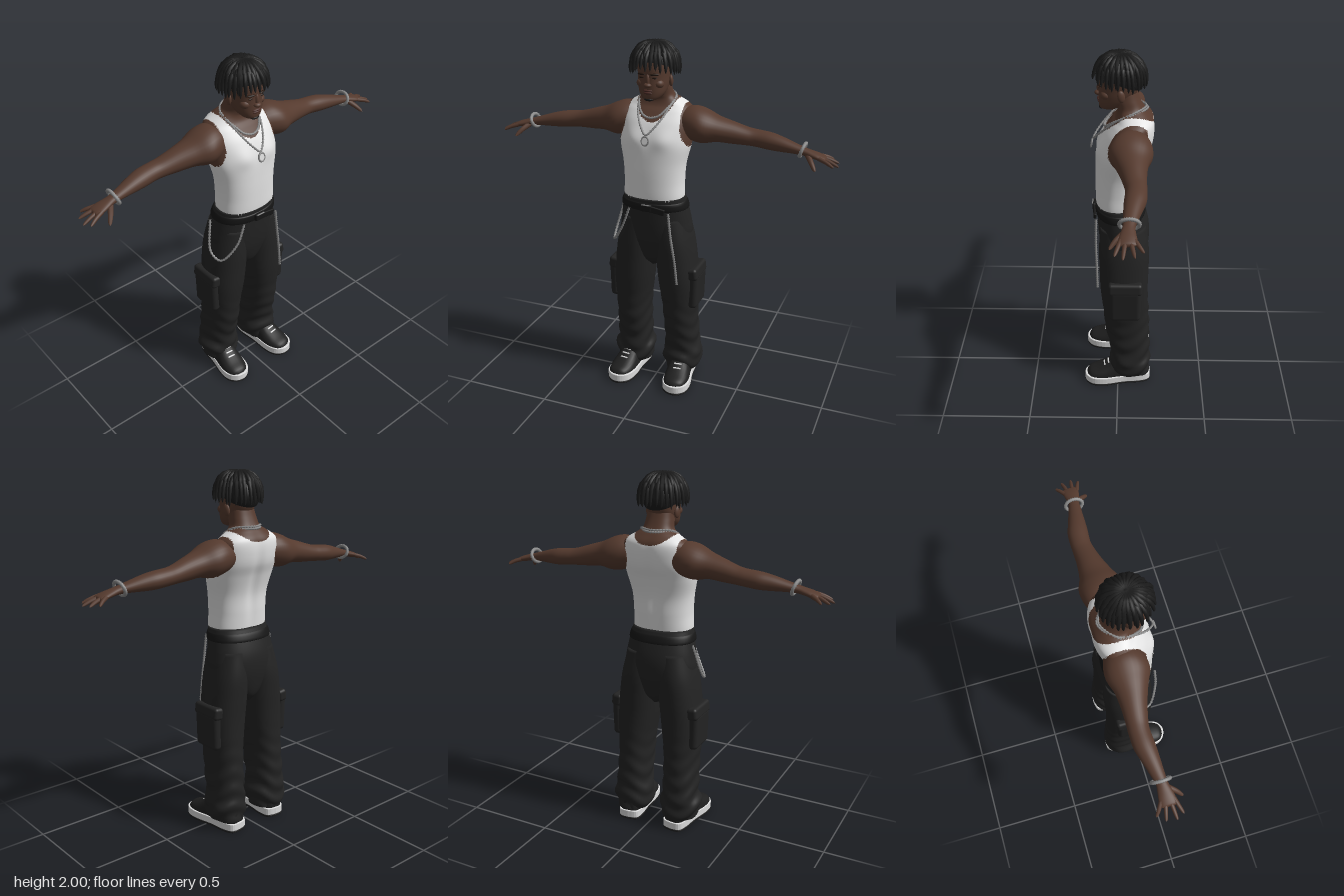
import * as THREE from 'three';
import { RoundedBoxGeometry } from 'three/addons/geometries/RoundedBoxGeometry.js';

const mat = (name, color) => new THREE.MeshStandardMaterial({ name, color });
const V = (x, y, z) => new THREE.Vector3(x, y, z);

// Smoothly resample a table of cross-sections to n rows
function resample(rows, n) {
  const it = new THREE.CubicInterpolant(rows.map((_, i) => i), rows.flat(), rows[0].length);
  return Array.from({ length: n }, (_, i) => Array.from(it.evaluate((i / (n - 1)) * (rows.length - 1))));
}

// Skin a list of closed rings, cap both ends and face the result outward
function loft(rings) {
  const n = rings[0].length, m = rings.length, idx = [];
  const pts = rings.flat();
  for (let r = 0; r < m - 1; r++) for (let k = 0; k < n; k++) {
    const a = r * n + k, b = r * n + (k + 1) % n;
    idx.push(a, a + n, b, b, a + n, b + n);
  }
  [0, m - 1].forEach((r) => {
    const c = pts.length;
    pts.push(rings[r].reduce((s, p) => s.add(p), V(0, 0, 0)).divideScalar(n));
    for (let k = 0; k < n; k++) {
      const a = r * n + k, b = r * n + (k + 1) % n;
      if (r === 0) idx.push(c, a, b); else idx.push(c, b, a);
    }
  });
  let vol = 0;
  const o = pts[pts.length - 1], t = V(0, 0, 0), u = V(0, 0, 0), w = V(0, 0, 0);
  for (let i = 0; i < idx.length; i += 3) {
    t.subVectors(pts[idx[i]], o); u.subVectors(pts[idx[i + 1]], o); w.subVectors(pts[idx[i + 2]], o);
    vol += t.dot(u.cross(w));
  }
  if (vol < 0) idx.reverse();
  const g = new THREE.BufferGeometry().setFromPoints(pts);
  g.setIndex(idx);
  g.computeVertexNormals();
  return g;
}

// One superellipse angle: returns [cos, sin] pushed toward a box as e grows
function se(k, n, e = 2) {
  const a = (k / n) * Math.PI * 2, c = Math.cos(a), s = Math.sin(a);
  return [Math.sign(c) * Math.abs(c) ** (2 / e), Math.sign(s) * Math.abs(s) ** (2 / e), a];
}

// Upright form from rows of [y, xCentre, zCentre, xRadius, zRadius]
function upright(rows, m, n, e, warp = (p) => p) {
  return loft(resample(rows, m).map(([y, x, z, rx, rz]) => Array.from({ length: n }, (_, k) => {
    const [c, s, a] = se(k, n, e);
    return warp(V(x + rx * c, y, z + rz * s), a, c, s);
  })));
}

// Tube along points with a radius that varies by t
function tube(pts, radius, seg = 12, radial = 7, closed = false) {
  const path = new THREE.CatmullRomCurve3(pts.map((p) => V(...p)), closed);
  const g = new THREE.TubeGeometry(path, seg, 1, radial, closed), p = g.attributes.position, v = V(0, 0, 0);
  for (let i = 0; i < p.count; i++) {
    const t = Math.floor(i / (radial + 1)) / seg, c = path.getPointAt(t);
    v.fromBufferAttribute(p, i).sub(c).multiplyScalar(radius(t)).add(c);
    p.setXYZ(i, v.x, v.y, v.z);
  }
  return g;
}

export function createModel() {
  const skin = mat('skin', 0x553a2e), hair = mat('hair', 0x191919), tank = mat('tankTop', 0xe4e4e4);
  const cloth = mat('trousers', 0x232323), leather = mat('belt', 0x161616), shoeBlack = mat('shoeBlack', 0x1f1f1f);
  const rubber = mat('soleWhite', 0xdcdcdc), silver = mat('silver', 0x8c8c8c), dark = mat('faceDark', 0x24170f), lips = mat('lips', 0x4b2c26);
  const model = new THREE.Group(), body = new THREE.Group();
  model.name = 'figure'; body.name = 'body';
  body.position.x = -0.013;
  model.add(body);
  const add = (parent, name, g, m, pos = [0, 0, 0], scale = [1, 1, 1], rot = [0, 0, 0]) => {
    const mesh = new THREE.Mesh(g, m);
    mesh.name = name;
    mesh.position.set(...pos); mesh.scale.set(...scale); mesh.rotation.set(...rot);
    parent.add(mesh);
    return mesh;
  };
  const ball = new THREE.SphereGeometry(1, 24, 16);

  // Torso and neck, with chest and spine relief; faces split into shirt and skin
  const bump = (x, y, cx, cy, sx, sy) => Math.exp(-(((x - cx) / sx) ** 2) - ((y - cy) / sy) ** 2);
  const torso = upright([
    [1.1, 0, 0, 0.16, 0.112], [1.16, 0, 0.002, 0.17, 0.12], [1.25, 0, 0, 0.168, 0.124], [1.35, 0, -0.003, 0.175, 0.126],
    [1.45, 0, -0.018, 0.196, 0.136], [1.52, 0, -0.04, 0.2, 0.14], [1.58, 0, -0.057, 0.198, 0.132], [1.63, 0, -0.075, 0.188, 0.113],
    [1.66, 0, -0.083, 0.163, 0.095], [1.69, 0, -0.075, 0.115, 0.078], [1.715, 0, -0.06, 0.084, 0.07],
    [1.76, 0, -0.04, 0.075, 0.068], [1.81, 0, -0.025, 0.07, 0.065]], 100, 96, 2.3, (p, a, c, s) => {
    if (s > 0) p.z += 0.014 * s * bump(Math.abs(p.x), p.y, 0.085, 1.5, 0.06, 0.05);
    else p.z += 0.012 * bump(p.x, p.y, 0, 1.4, 0.03, 0.2);
    return p;
  });
  const shirtIdx = [], skinIdx = [], ti = torso.index.array, tp = torso.attributes.position;
  for (let i = 0; i < ti.length; i += 3) {
    const f = [ti[i], ti[i + 1], ti[i + 2]], mean = (get) => (get(f[0]) + get(f[1]) + get(f[2])) / 3;
    const x = Math.abs(mean((j) => tp.getX(j))), y = mean((j) => tp.getY(j)), z = mean((j) => tp.getZ(j));
    const low = z > -0.075 ? 1.585 : 1.64;
    const neckline = low + (1.69 - low) * (x / 0.112) ** 2.4;
    const armEdge = 0.152 + 0.045 * (Math.max(0, 1.6 - y) / 0.15) ** 2;
    (y > neckline || (y > 1.45 && x > armEdge) || y > 1.695 ? skinIdx : shirtIdx).push(...f);
  }
  torso.setIndex([...shirtIdx, ...skinIdx]);
  torso.addGroup(0, shirtIdx.length, 0);
  torso.addGroup(shirtIdx.length, skinIdx.length, 1);
  add(body, 'torso', torso, [tank, skin]);

  // Head and face
  add(body, 'head', upright([[1.7, 0, 0.055, 0.02, 0.025], [1.712, 0, 0.045, 0.046, 0.052], [1.74, 0, 0.027, 0.068, 0.075],
    [1.78, 0, 0.008, 0.079, 0.095], [1.82, 0, -0.002, 0.083, 0.104], [1.88, 0, -0.006, 0.086, 0.11],
    [1.93, 0, -0.01, 0.078, 0.1], [1.965, 0, -0.01, 0.045, 0.06]], 40, 40, 2.2), skin);
  add(body, 'nose', ball, skin, [0, 1.786, 0.103], [0.021, 0.013, 0.02]);
  add(body, 'noseBridge', ball, skin, [0, 1.812, 0.099], [0.011, 0.032, 0.012]);
  add(body, 'upperLip', ball, lips, [0, 1.757, 0.097], [0.027, 0.007, 0.013]);
  add(body, 'lowerLip', ball, lips, [0, 1.745, 0.095], [0.025, 0.008, 0.013]);
  add(body, 'chin', ball, skin, [0, 1.718, 0.078], [0.03, 0.018, 0.02]);
  add(body, 'goatee', ball, hair, [0, 1.709, 0.083], [0.026, 0.01, 0.018]);
  for (const s of [-1, 1]) {
    add(body, 'eye', ball, dark, [s * 0.034, 1.824, 0.094], [0.016, 0.005, 0.006]);
    add(body, 'brow', ball, dark, [s * 0.036, 1.842, 0.097], [0.024, 0.006, 0.008], [0, s * 0.3, 0]);
    add(body, 'cheek', ball, skin, [s * 0.045, 1.79, 0.062], [0.03, 0.025, 0.03]);
    add(body, 'ear', ball, skin, [s * 0.085, 1.795, -0.015], [0.012, 0.032, 0.02], [0.15, s * 0.3, 0]);
  }

  // Hair: skull cap and two layers of hanging locks
  add(body, 'hairCap', new THREE.SphereGeometry(1, 32, 16, 0, Math.PI * 2, 0, 1.75), hair, [0, 1.875, -0.015], [0.1, 0.105, 0.122], [-0.4, 0, 0]);
  let seed = 7;
  const rnd = () => (seed = (seed * 16807) % 2147483647) / 2147483647;
  [[30, 1, 0.0], [24, 0.9, 0.018]].forEach(([count, reach, lift]) => {
    for (let i = 0; i < count; i++) {
      const a = ((i + 0.5 + 0.4 * (rnd() - 0.5)) / count) * Math.PI * 2, front = Math.max(0, Math.sin(a));
      const end = 1.815 + 0.04 * front ** 2 + 0.02 * rnd() + lift, w = reach * (0.96 + 0.1 * rnd());
      const at = (r, y) => [Math.cos(a) * r * w, y, -0.008 + Math.sin(a) * r * w * 1.08];
      add(body, 'lock', tube([at(0.01, 1.962 + lift), at(0.06, 1.97 + lift * 0.7), at(0.105, 1.935 + lift), at(0.122, 1.88 + lift), at(0.124, end)],
        (t) => 0.0155 * (1 - 0.45 * t) * Math.sqrt(1 - t ** 8) * (1 + 0.08 * Math.sin(t * 40)), 14, 7), hair);
    }
  });

  // Arms and hands
  const armRows = [[0.12, 1.57, -0.07, 0.075, 0.085], [0.19, 1.565, -0.068, 0.094, 0.108], [0.25, 1.555, -0.066, 0.091, 0.112],
    [0.32, 1.545, -0.07, 0.069, 0.086], [0.4, 1.53, -0.08, 0.059, 0.067], [0.48, 1.516, -0.09, 0.048, 0.056],
    [0.53, 1.51, -0.094, 0.046, 0.053], [0.6, 1.503, -0.09, 0.046, 0.054], [0.66, 1.496, -0.081, 0.04, 0.047],
    [0.73, 1.486, -0.07, 0.029, 0.037], [0.79, 1.476, -0.061, 0.021, 0.03], [0.83, 1.467, -0.058, 0.019, 0.036],
    [0.865, 1.459, -0.057, 0.017, 0.042], [0.895, 1.452, -0.057, 0.012, 0.04], [0.903, 1.45, -0.057, 0.005, 0.03]];
  const fingers = [[-0.025, 0.952, 1.425, 0.003], [-0.046, 0.973, 1.42, -0.035], [-0.068, 0.965, 1.424, -0.09], [-0.088, 0.932, 1.43, -0.13]];
  for (const s of [-1, 1]) {
    add(model, 'arm', loft(resample(armRows, 64).map(([x, y, z, ry, rz]) => Array.from({ length: 28 }, (_, k) => {
      const [c, q] = se(k, 28);
      return V(s * x, y + ry * q, z + rz * c);
    }))), skin);
    for (const [z, tx, ty, tz] of fingers) add(model, 'finger', tube([[s * 0.87, 1.457, z], [s * (0.875 + tx) / 2, (1.462 + ty) / 2, (z + tz) / 2], [s * tx, ty, tz]],
      (t) => 0.0118 * (1 - 0.3 * t) * Math.sqrt(1 - t ** 8), 12, 9), skin);
    add(model, 'thumb', tube([[s * 0.81, 1.462, -0.045], [s * 0.838, 1.435, -0.003], [s * 0.865, 1.402, 0.028]],
      (t) => 0.016 * (1 - 0.35 * t) * Math.sqrt(1 - t ** 8), 12, 9), skin);
    // Beaded bracelet
    const ring = Array.from({ length: 16 }, (_, i) => [s * 0.778 + s * 0.012 * Math.sin(i * Math.PI / 8), 1.484 + 0.034 * Math.sin(i * Math.PI / 8), -0.063 + 0.046 * Math.cos(i * Math.PI / 8)]);
    add(model, 'bracelet', tube(ring, (t) => 0.009 * (1 + 0.15 * Math.cos(t * Math.PI * 48)), 192, 8, true), silver);
  }

  // Trousers: seat, baggy legs with folds, cargo pockets
  add(body, 'seat', upright([[0.74, 0, -0.04, 0.02, 0.07], [0.79, 0, -0.037, 0.09, 0.108], [0.88, 0, -0.034, 0.19, 0.132], [0.95, 0, -0.032, 0.208, 0.141],
    [1.02, 0, -0.027, 0.2, 0.141], [1.1, 0, -0.015, 0.186, 0.132], [1.165, 0, 0, 0.174, 0.124]], 36, 48, 2.2), cloth);
  const legRows = [[0.06, 0.148, -0.078, 0.09, 0.105], [0.1, 0.149, -0.075, 0.107, 0.114], [0.155, 0.151, -0.073, 0.116, 0.117],
    [0.21, 0.149, -0.075, 0.1, 0.113], [0.3, 0.148, -0.065, 0.097, 0.119], [0.4, 0.145, -0.052, 0.095, 0.126], [0.5, 0.143, -0.045, 0.101, 0.127],
    [0.65, 0.135, -0.035, 0.113, 0.134], [0.78, 0.123, -0.034, 0.113, 0.138], [0.9, 0.11, -0.033, 0.108, 0.139], [1.04, 0.09, -0.027, 0.095, 0.125]];
  for (const s of [-1, 1]) {
    add(body, 'trouserLeg', upright(legRows.map(([y, x, ...r]) => [y, s * x, ...r]), 90, 44, 2.2, (p, a, c, q) => {
      const fold = Math.max(0, 1 - p.y / 0.6) * 0.007 * Math.sin(p.y * 62 + 2.5 * Math.sin(a * 2 + s));
      p.x += c * fold; p.z += q * fold;
      return p;
    }), cloth);
    add(body, 'cargoPocket', new RoundedBoxGeometry(0.055, 0.21, 0.175, 4, 0.024), cloth, [s * 0.24, 0.605, -0.042], [1, 1, 1], [0, 0, s * -0.03]);
    add(body, 'pocketFlap', new RoundedBoxGeometry(0.06, 0.07, 0.19, 3, 0.018), cloth, [s * 0.238, 0.715, -0.042], [1, 1, 1], [0, 0, s * 0.12]);
  }

  // Belt with buckle and loose end
  add(body, 'belt', upright([[1.092, 0, -0.014, 0.182, 0.128], [1.1, 0, -0.013, 0.192, 0.138], [1.135, 0, -0.006, 0.184, 0.133], [1.143, 0, -0.006, 0.172, 0.122]], 10, 48, 2.2), leather);
  add(body, 'buckle', new RoundedBoxGeometry(0.065, 0.042, 0.02, 2, 0.008), leather, [0, 1.12, 0.133]);
  add(body, 'buckleBar', new RoundedBoxGeometry(0.05, 0.006, 0.006, 2, 0.002), silver, [0, 1.138, 0.142]);
  add(body, 'beltEnd', new RoundedBoxGeometry(0.09, 0.035, 0.014, 2, 0.006), leather, [0.06, 1.11, 0.13], [1, 1, 1], [0, 0.1, -0.2]);

  // Chains: two necklaces, a hip loop and a hanging strand
  const chain = (name, pts, r, seg, closed) => add(body, name, tube(pts, (t) => r * (1 + 0.3 * Math.cos(t * Math.PI * seg / 2)), seg, 6, closed), silver);
  const both = (front, half, back) => [front, ...half, back, ...half.slice().reverse().map(([x, y, z]) => [-x, y, z])];
  chain('longNecklace', both([0, 1.528, 0.132], [[0.03, 1.555, 0.115], [0.07, 1.615, 0.062], [0.092, 1.672, -0.005], [0.092, 1.708, -0.08]], [0, 1.715, -0.145]), 0.0055, 200, true);
  chain('shortNecklace', both([0, 1.607, 0.074], [[0.045, 1.618, 0.06], [0.08, 1.655, 0.022], [0.1, 1.695, -0.065]], [0, 1.705, -0.152]), 0.006, 200, true);
  add(body, 'pendantRing', new THREE.TorusGeometry(0.019, 0.005, 8, 24), silver, [0, 1.499, 0.142], [1, 1.2, 1], [-0.2, 0, 0]);
  add(body, 'pendantDisc', new THREE.CylinderGeometry(0.018, 0.018, 0.006, 24), rubber, [0, 1.499, 0.142], [1, 1, 1.15], [Math.PI / 2 - 0.2, 0, 0]);
  chain('hipChain', [[-0.1, 1.11, 0.125], [-0.15, 0.98, 0.118], [-0.222, 0.88, 0.065], [-0.238, 0.91, 0], [-0.2, 1.09, -0.05]], 0.0065, 120, false);
  chain('hangingChain', [[0.123, 1.1, 0.12], [0.14, 0.95, 0.122], [0.16, 0.82, 0.118], [0.175, 0.68, 0.115]], 0.0065, 120, false);

  // Shoes
  const outline = new THREE.Shape([[0, -0.19], [0.05, -0.178], [0.066, -0.12], [0.066, -0.03], [0.078, 0.08], [0.068, 0.15], [0.035, 0.186], [0, 0.193]]
    .flatMap(([x, z], i, all) => [[x, z]]).concat([[-0.035, 0.182], [-0.066, 0.145], [-0.074, 0.08], [-0.064, -0.03], [-0.064, -0.12], [-0.05, -0.178]])
    .map(([x, z]) => new THREE.Vector2(x, -z)));
  const smooth = new THREE.Shape(new THREE.SplineCurve([...outline.getPoints(), outline.getPoints()[0]]).getPoints(60).slice(0, -1));
  const slab = (h) => new THREE.ExtrudeGeometry(smooth, { depth: h - 0.006, bevelThickness: 0.003, bevelSize: 0.004, bevelSegments: 2 }).rotateX(-Math.PI / 2).translate(0, 0.003, 0);
  const upperRows = [[0.184, 0.02, 0.012], [0.165, 0.052, 0.032], [0.12, 0.07, 0.048], [0.07, 0.073, 0.072], [0.02, 0.068, 0.105],
    [-0.05, 0.064, 0.125], [-0.12, 0.064, 0.12], [-0.165, 0.052, 0.108], [-0.184, 0.03, 0.08]];
  for (const s of [-1, 1]) {
    const shoe = new THREE.Group();
    shoe.name = 'shoe';
    shoe.position.set(s * 0.16, 0, 0);
    shoe.rotation.y = s * 0.11;
    body.add(shoe);
    add(shoe, 'outsole', slab(0.012), shoeBlack);
    add(shoe, 'midsole', slab(0.042), rubber, [0, 0.0121, 0]);
    add(shoe, 'upper', loft(resample(upperRows, 30).map(([z, w, h]) => Array.from({ length: 28 }, (_, k) => {
      const [c, q] = se(k, 28, 2.3);
      return V(w * c, 0.048 + (q > 0 ? h : 0.008) * q, z);
    }))), shoeBlack);
    for (let i = 0; i < 3; i++) add(shoe, 'lace', new RoundedBoxGeometry(0.045, 0.007, 0.009, 2, 0.003), rubber, [0, 0.113 + i * 0.016, 0.081 - i * 0.023], [1, 1, 1], [0.6, 0, 0]);
  }
  return model;
}
